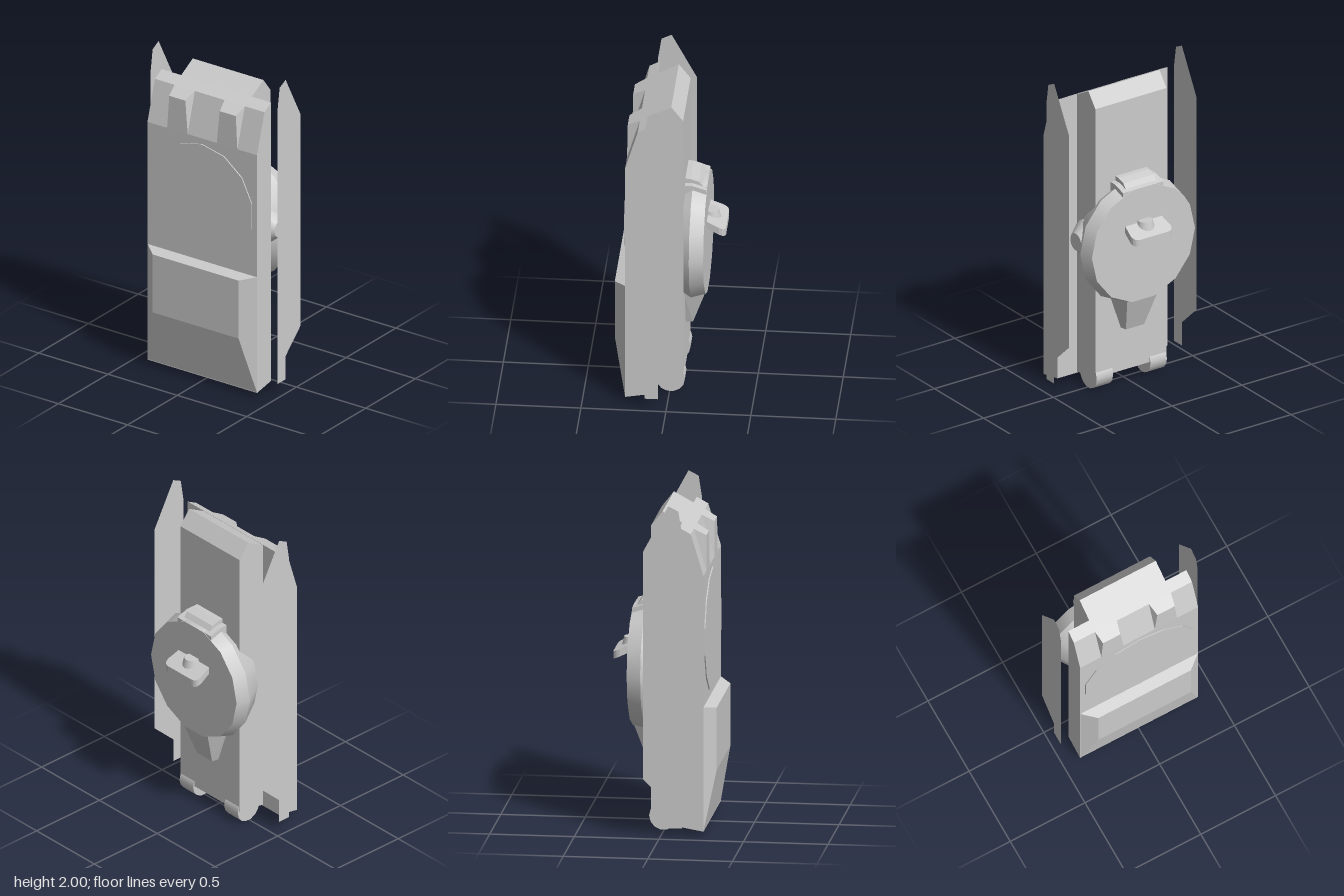
import * as THREE from 'three';
import { ConvexGeometry } from 'three/addons/geometries/ConvexGeometry.js';

export function createModel() {
  const model = new THREE.Group();
  const flat = new THREE.MeshStandardMaterial({ color: 0xcccccc, flatShading: true });
  const smooth = new THREE.MeshStandardMaterial({ color: 0xcccccc });
  const thin = new THREE.MeshStandardMaterial({ color: 0xcccccc, side: THREE.DoubleSide });

  const add = (name, geometry, material = flat) => {
    const mesh = new THREE.Mesh(geometry, material);
    mesh.name = name;
    model.add(mesh);
    return mesh;
  };
  const outline = (points) => new THREE.Shape(points.map(([a, b]) => new THREE.Vector2(a, b)));
  // Side profile given as [z, y], extruded across x and centred
  const acrossX = (points, width) =>
    new THREE.ExtrudeGeometry(outline(points), { depth: width, bevelEnabled: false })
      .translate(0, 0, -width / 2).rotateY(-Math.PI / 2);
  const hull = (points) => new ConvexGeometry(points.map((p) => new THREE.Vector3(...p)));
  // Disc along z: front radius, back radius, front z, back z
  const disc = (rFront, rBack, zFront, zBack, sides, turn = 0) =>
    new THREE.CylinderGeometry(rFront, rBack, zFront - zBack, sides)
      .rotateX(Math.PI / 2).rotateZ(turn).translate(0, 0, (zFront + zBack) / 2);

  // Core and wide front plate share one sloping top
  add('coreBody', acrossX([[0.12, 0.06], [0.12, 1.848], [-0.01, 1.92], [-0.08, 1.83], [-0.08, 0.09]], 0.51));
  add('frontPlate', acrossX(
    [[0.25, 0.03], [0.25, 1.57], [0.175, 1.82], [0.107, 1.857], [0.107, 0.055]], 0.79));

  // Two teeth standing proud of the top bevel
  for (const s of [-1, 1]) {
    add('topTooth', hull([
      [s * 0.107, 1.82, 0.175], [s * 0.254, 1.82, 0.175],
      [s * 0.124, 1.78, 0.247], [s * 0.24, 1.78, 0.247],
      [s * 0.105, 1.57, 0.25], [s * 0.253, 1.57, 0.25],
    ]));
  }

  // Round front cover
  const cover = add('frontCover', disc(0.37, 0.37, 0.257, 0.24, 14));
  cover.position.y = 1.165;

  // Faceted lower front shield
  const shield = [];
  for (const s of [-1, 1]) {
    shield.push([s * 0.395, 0.03, 0.249], [s * 0.395, 0.78, 0.249],
      [s * 0.31, 0.76, 0.317], [s * 0.31, 0.385, 0.317]);
  }
  add('lowerShield', hull(shield));

  // Thin side panels and rounded feet
  const panel = outline([[0.13, 0.06], [0.13, 1.84], [0.11, 1.97], [0.05, 2.0],
    [-0.1, 1.72], [-0.1, 0.35], [0.05, 0.21], [0.05, 0.06]]);
  for (const s of [-1, 1]) {
    add('sidePanel', new THREE.ShapeGeometry(panel).rotateY(-Math.PI / 2), thin).position.x = s * 0.458;
    const foot = add('foot', new THREE.CylinderGeometry(0.085, 0.085, 0.118, 14).rotateZ(Math.PI / 2), smooth);
    foot.position.set(s * 0.193, 0.085, -0.005);
  }

  // Rear drum: flared base and tapered rim
  const drumY = 0.945;
  add('drumBase', disc(0.305, 0.395, 0.022, -0.125, 14, Math.PI / 2), smooth).position.y = drumY;
  add('drumRim', disc(0.395, 0.37, -0.125, -0.208, 14, Math.PI / 2), smooth).position.y = drumY;

  // Hinge above the drum
  add('hingeBracket', acrossX([[-0.07, 1.2], [-0.07, 1.33], [-0.125, 1.33], [-0.206, 1.305], [-0.206, 1.2]], 0.29));
  add('hingeBlock', acrossX([[-0.07, 1.2], [-0.07, 1.36], [-0.11, 1.357], [-0.16, 1.342],
    [-0.185, 1.31], [-0.185, 1.2]], 0.22));

  // Tapered tongue below the drum
  const tongue = [];
  for (const s of [-1, 1]) {
    tongue.push([s * 0.16, 0.62, -0.07], [s * 0.075, 0.37, -0.07], [s * 0.065, 0.37, -0.122],
      [s * 0.09, 0.53, -0.122], [s * 0.11, 0.6, -0.2], [s * 0.14, 0.66, -0.12]);
  }
  add('drumTongue', hull(tongue));

  // Bent grip on the drum face
  const grip = new THREE.Shape();
  grip.moveTo(-0.13, 0.2);
  grip.lineTo(0.13, 0.2);
  grip.lineTo(0.142, 0.28);
  grip.quadraticCurveTo(0.14, 0.32, 0.1, 0.32);
  grip.lineTo(-0.1, 0.32);
  grip.quadraticCurveTo(-0.14, 0.32, -0.142, 0.28);
  const gripGeometry = new THREE.ExtrudeGeometry(grip, { depth: 0.045, bevelEnabled: false, curveSegments: 4 })
    .rotateX(-Math.PI / 2);
  // The outer edge droops away from the drum
  const p = gripGeometry.attributes.position;
  for (let i = 0; i < p.count; i++) {
    const reach = (-p.getZ(i) - 0.2) / 0.12;
    p.setY(i, p.getY(i) + 1.045 - 0.055 * reach);
  }
  add('grip', gripGeometry);
  add('gripBoss', new THREE.CylinderGeometry(0.045, 0.06, 0.06, 12), smooth).position.set(0, 1.073, -0.225);

  // Tapered knob on the left side only
  const knob = add('sideKnob', new THREE.CylinderGeometry(0.055, 0.12, 0.08, 14).rotateZ(-Math.PI / 2), smooth);
  knob.position.set(0.32, 0.98, -0.03);
  const collar = add('knobCollar', new THREE.CylinderGeometry(0.12, 0.12, 0.04, 14).rotateZ(Math.PI / 2), smooth);
  collar.position.set(0.262, 0.98, -0.03);

  return model;
}
